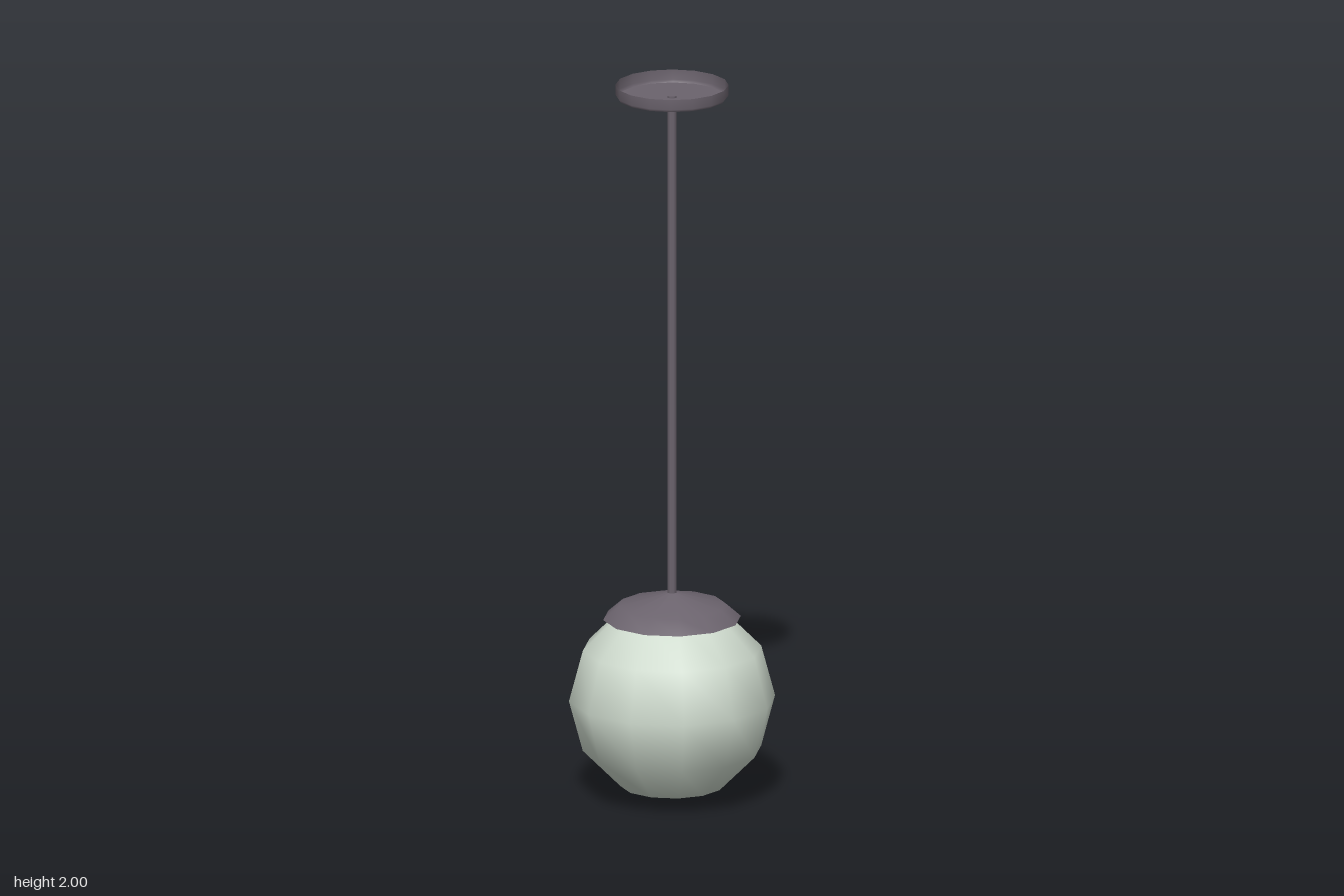
import * as THREE from 'three';

export function createModel() {
  const metal = new THREE.MeshStandardMaterial({ color: 0x6b636d, side: THREE.DoubleSide });
  metal.name = 'dark metal';
  const glass = new THREE.MeshStandardMaterial({ color: 0xd0dccf });
  glass.name = 'pale green glass';

  const lamp = new THREE.Group();
  lamp.name = 'pendantLamp';
  const add = (name, geometry, material, y = 0) => {
    const mesh = new THREE.Mesh(geometry, material);
    mesh.name = name;
    mesh.position.y = y;
    lamp.add(mesh);
    return mesh;
  };
  const lathe = (points, sides) =>
    new THREE.LatheGeometry(points.map(([r, y]) => new THREE.Vector2(r, y)), sides);

  // Coarse smooth-shaded globe
  add('globe', new THREE.SphereGeometry(0.28, 12, 6), glass, 0.28);

  // Shallow dome holding the globe, open underneath
  add('globeCap', lathe([[0.187, 0.505], [0.145, 0.542], [0, 0.58]], 12), metal);

  // Hanging rod
  add('rod', new THREE.CylinderGeometry(0.0125, 0.0125, 1.4, 8), metal, 1.27);

  // Ceiling canopy: a thin tray open at the top
  add('canopyWall', lathe([[0.148, 1.965], [0.153, 1.972], [0.153, 2]], 16), metal);
  const floor = add('canopyFloor', new THREE.CircleGeometry(0.148, 16), metal, 1.965);
  floor.rotation.x = -Math.PI / 2;

  return lamp;
}
